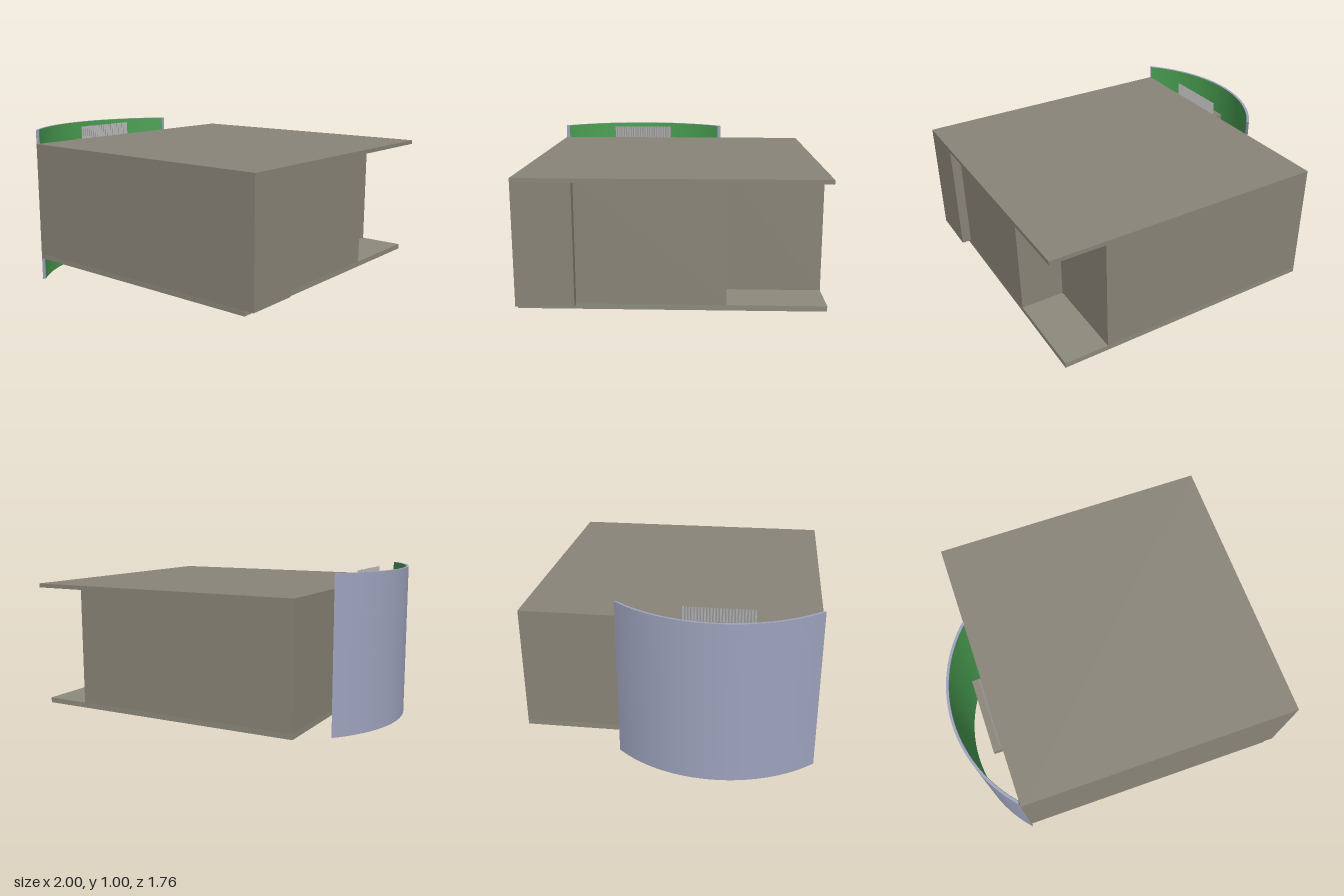
import * as THREE from 'three';
import { toCreasedNormals } from 'three/addons/utils/BufferGeometryUtils.js';

const material = (color) => new THREE.MeshStandardMaterial({ color });

export function createModel() {
  const model = new THREE.Group();
  const stone = material(0x8a8478);
  const slab = material(0x8d8b7d);
  const steel = material(0xb0b0b0);
  const shieldOuter = material(0x9ea3bd);
  const shieldInner = material(0x4aa052);
  steel.side = shieldInner.side = THREE.DoubleSide;

  const add = (name, geometry, mat) => {
    const mesh = new THREE.Mesh(geometry, mat);
    mesh.name = name;
    model.add(mesh);
    return mesh;
  };

  // Box given by its lower and upper limits on each axis
  const block = (name, [x0, x1], [y0, y1], [z0, z1], mat) =>
    add(name, new THREE.BoxGeometry(x1 - x0, y1 - y0, z1 - z0), mat)
      .position.set((x0 + x1) / 2, (y0 + y1) / 2, (z0 + z1) / 2);

  // Extrudes a plan drawn in (x, -z) upwards from y0 to y1
  const raise = (shape, y0, y1, curveSegments = 12) =>
    new THREE.ExtrudeGeometry(shape, { depth: y1 - y0, bevelEnabled: false, curveSegments })
      .rotateX(-Math.PI / 2).translate(0, y0, 0);

  // Floor and roof slabs
  const depth = [-0.88, 0.875];
  block('floor', [-0.765, 0.94], [0.145, 0.177], depth, slab);
  block('roof', [-0.765, 1], [0.885, 0.91], depth, stone);

  // Walls, with the recessed side panel and the open back corner
  const plan = [
    [-0.765, 0.875], [1, 0.875], [1, 0.54], [0.94, 0.54],
    [0.94, -0.313], [0.663, -0.313], [0.663, -0.88], [-0.765, -0.88],
  ];
  const walls = new THREE.Shape(plan.map(([x, z]) => new THREE.Vector2(x, -z)));
  add('walls', raise(walls, 0.177, 0.885), stone);

  // Curved shield around the left-hand end of the front, ends cut flush with the wall
  const cx = -0.136, cz = 0.283, outerR = 0.864, innerR = 0.848;
  const outerA = Math.acos((0.765 + cx) / outerR);
  const innerA = Math.acos((0.765 + cx) / innerR);
  const arc = new THREE.Shape();
  arc.absarc(cx, -cz, outerR, Math.PI - outerA, Math.PI + outerA, false);
  arc.absarc(cx, -cz, innerR, Math.PI + innerA, Math.PI - innerA, true);
  add('shield', toCreasedNormals(raise(arc, 0, 1, 48), 0.5), shieldOuter);

  // Coloured lining on the shield's inner face
  const lining = new THREE.CylinderGeometry(
    innerR - 0.002, innerR - 0.002, 0.998, 48, 1, true, 1.5 * Math.PI - innerA, 2 * innerA);
  add('shieldLining', lining, shieldInner).position.set(cx, 0.5, cz);

  // Ledge on the wall behind the shield
  block('ledge', [-0.82, -0.765], [0.86, 0.905], [0.045, 0.515], stone);

  // Finely pleated screen standing on the ledge
  const pleats = 24;
  const screen = new THREE.PlaneGeometry(0.425, 0.09, pleats * 2, 1).toNonIndexed();
  const p = screen.attributes.position;
  for (let i = 0; i < p.count; i++) {
    const step = Math.round((p.getX(i) / 0.425 + 0.5) * pleats * 2);
    p.setZ(i, step % 2 ? 0.004 : -0.004);
  }
  screen.computeVertexNormals();
  screen.rotateY(-Math.PI / 2);
  add('screen', screen, steel).position.set(-0.771, 0.947, 0.285);

  return model;
}
